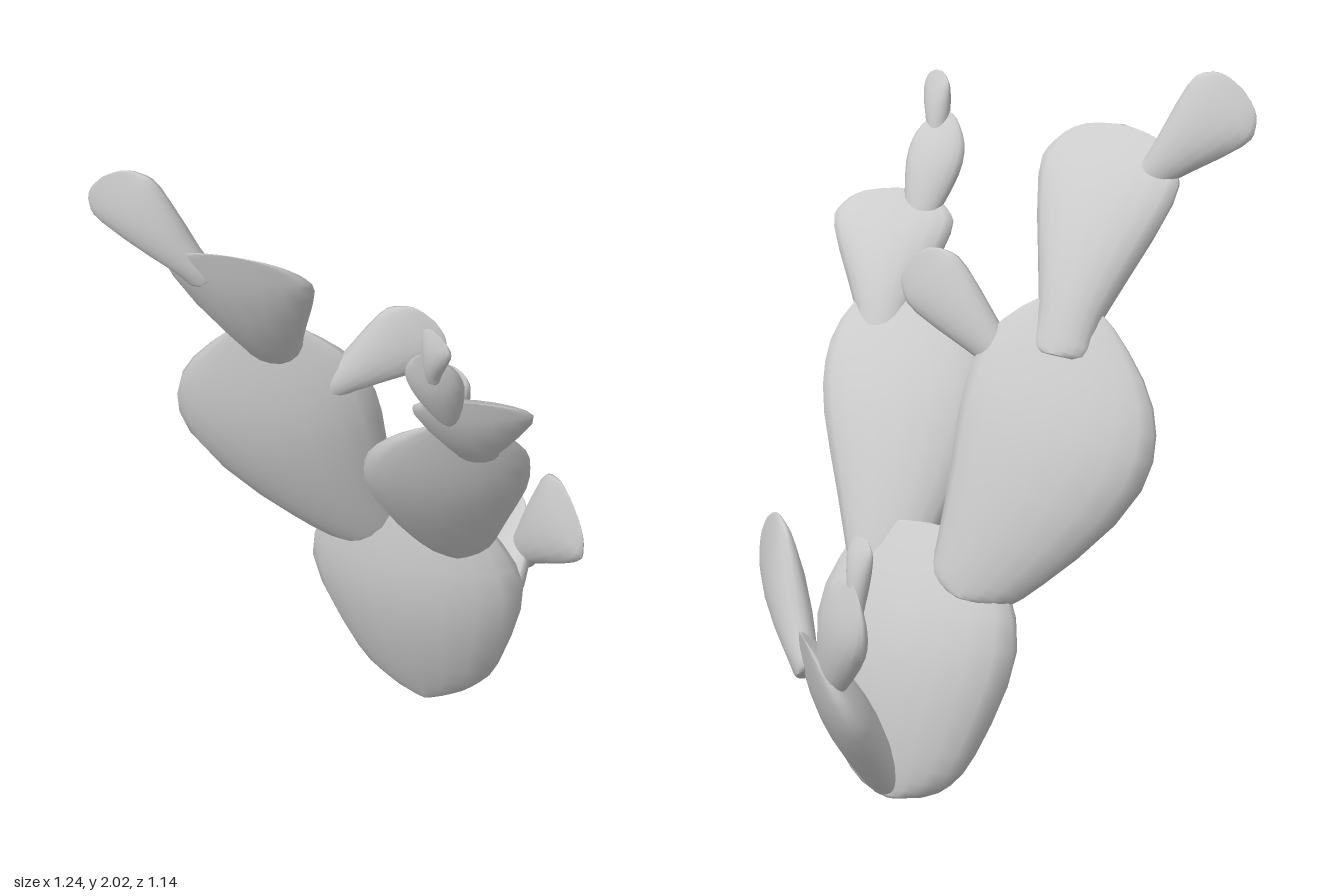
import * as THREE from 'three';
import { mergeVertices } from 'three/addons/utils/BufferGeometryUtils.js';

const V = (a) => new THREE.Vector3(...a);

// Half-width profiles as [relative width, position along the pad]
const PROFILES = {
  root: [[0, 0], [0.38, 0.04], [0.7, 0.2], [1, 0.6], [0.74, 0.9], [0.42, 0.98], [0, 1]],
  oval: [[0, 0], [0.36, 0.02], [0.56, 0.13], [0.98, 0.52], [0.9, 0.77], [0.4, 0.95], [0, 1]],
  paddle: [[0, 0], [0.4, 0.02], [0.47, 0.2], [1, 0.72], [0.9, 0.88], [0.55, 0.97], [0, 1]],
};

// Flattened pad: a lathe laid from base to tip, wide along its yawed side and thin along its normal.
// "bow" bends the middle sideways.
function pad(name, profile, base, tip, yaw, width, bow = 0) {
  const start = V(base), end = V(tip);
  const axis = end.clone().sub(start).normalize();
  const side = V([Math.cos(yaw), 0, Math.sin(yaw)]);
  side.addScaledVector(axis, -side.dot(axis)).normalize();
  const normal = side.clone().cross(axis);
  const thickness = 0.03 + 0.31 * width;

  const outline = new THREE.SplineCurve(PROFILES[profile].map(([r, t]) => new THREE.Vector2(r, t)))
    .getPoints(18)
    .map((p) => new THREE.Vector2(Math.max(0, p.x), THREE.MathUtils.clamp(p.y, 0, 1)));
  let geo = new THREE.LatheGeometry(outline, 18);
  const pos = geo.attributes.position;
  for (let i = 0; i < pos.count; i++) {
    const x = pos.getX(i), t = pos.getY(i), z = pos.getZ(i);
    const r = Math.hypot(x, z);
    // Blade is thickest near the middle, sturdy at the neck and sharp at the tip
    const swell = Math.cos((t - 0.45) * (t < 0.45 ? 2.2 : 2.856));
    const depth = r > 1e-5 ? (z / r) * swell : 0;
    const p = start.clone().lerp(end, t)
      .addScaledVector(side, x * width / 2 + bow * Math.sin(Math.PI * t))
      .addScaledVector(normal, depth * thickness / 2);
    pos.setXYZ(i, p.x, p.y, p.z);
  }
  geo.deleteAttribute('normal');
  geo.deleteAttribute('uv');
  geo = mergeVertices(geo, 1e-5);
  geo.computeVertexNormals();
  const mesh = new THREE.Mesh(geo, new THREE.MeshStandardMaterial({ color: 0xcccccc }));
  mesh.name = name;
  return mesh;
}

function branch(name, ...pads) {
  const group = new THREE.Group();
  group.name = name;
  group.add(...pads);
  return group;
}

export function createModel() {
  return branch('padCactus',
    // Main pad standing on the ground
    pad('mainPad', 'root', [0.01, 0, -0.21], [0.03, 0.75, -0.05], -0.2, 0.61),
    // Tall branch: big pad, upper pad, top pad and side bud
    branch('rightBranch',
      pad('rightPad', 'oval', [-0.11, 0.57, -0.07], [-0.27, 1.4, 0.23], -0.33, 0.58, -0.08),
      pad('rightUpperPad', 'paddle', [-0.26, 1.24, 0.15], [-0.21, 1.81, 0.5], -0.25, 0.41),
      pad('rightTopPad', 'paddle', [-0.31, 1.67, 0.46], [-0.58, 1.98, 0.56], -0.26, 0.23),
      pad('rightSideBud', 'paddle', [-0.13, 1.16, 0.14], [0.18, 1.46, 0.06], -0.28, 0.21)),
    // Second branch: big pad and a chain of smaller ones
    branch('leftBranch',
      pad('leftPad', 'oval', [0.16, 0.6, -0.1], [0.38, 1.31, 0.25], -0.49, 0.46, -0.04),
      pad('leftUpperPad', 'paddle', [0.37, 1.15, 0.15], [0.49, 1.5, 0.38], -0.42, 0.33),
      pad('leftTopPad', 'oval', [0.41, 1.4, 0.36], [0.41, 1.71, 0.5], -0.3, 0.16),
      pad('leftTopBud', 'paddle', [0.42, 1.61, 0.47], [0.465, 1.81, 0.52], 0.3, 0.11)),
    // Rear branch: low pad with two shoots
    branch('rearBranch',
      pad('rearPad', 'oval', [0.05, 0.03, -0.21], [0.12, 0.52, -0.49], 0.7, 0.36),
      pad('rearUpperPad', 'oval', [0.05, 0.38, -0.46], [-0.1, 0.73, -0.54], 0.42, 0.23),
      pad('rearTopBud', 'paddle', [-0.09, 0.63, -0.52], [-0.085, 0.86, -0.49], 0.2, 0.1),
      pad('rearSidePad', 'paddle', [0.17, 0.38, -0.41], [0.44, 0.73, -0.25], 0.53, 0.25)));
}
